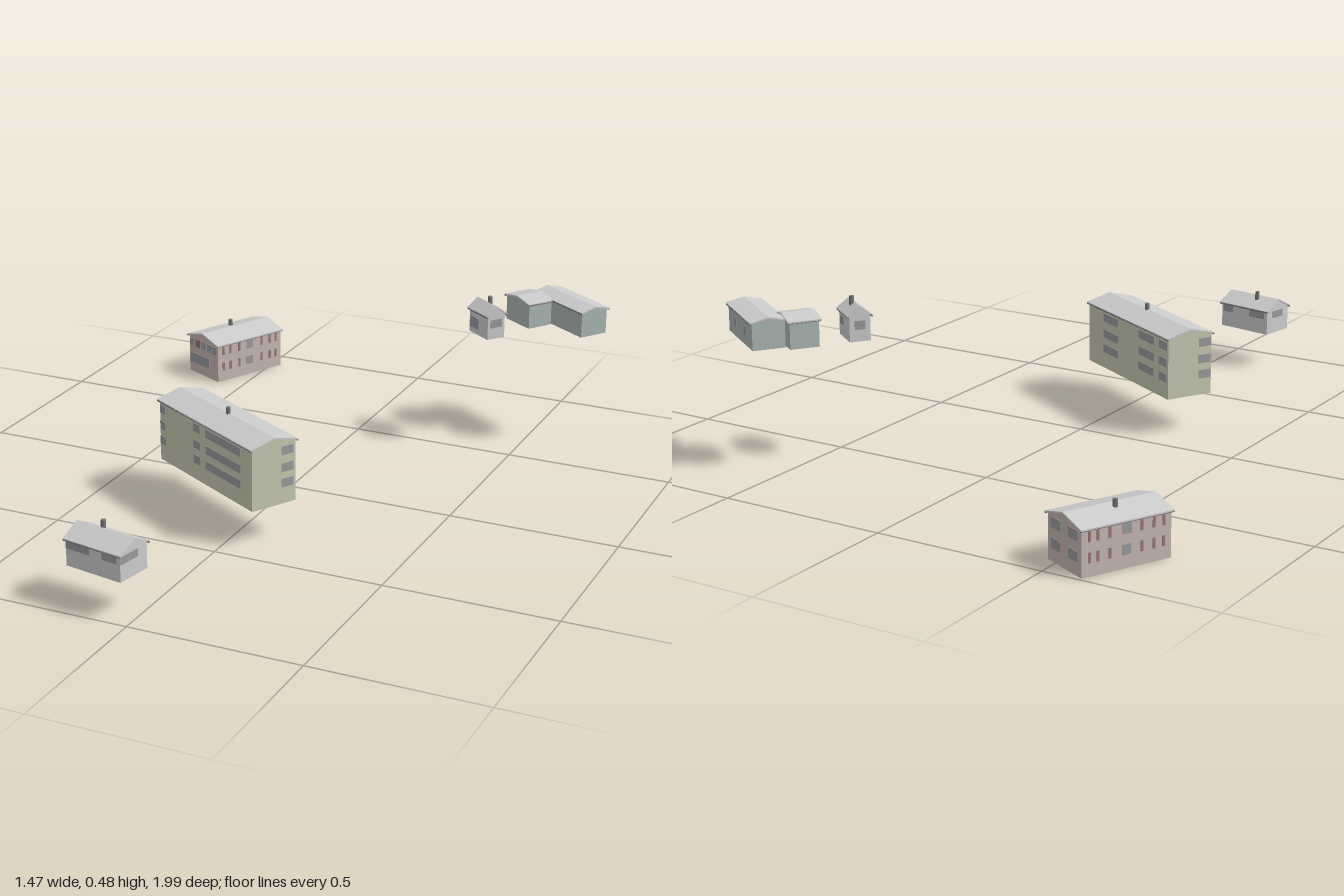
import * as THREE from 'three';

const mat = (color) => new THREE.MeshStandardMaterial({ color, flatShading: true });
const roofMat = mat(0xcccccc);
const glassMat = mat(0x9a9a9e);
const redMat = mat(0x9c7470);
const trimMat = mat(0x777777);

function add(group, name, geometry, material) {
  const mesh = new THREE.Mesh(geometry, material);
  mesh.name = name;
  group.add(mesh);
  return mesh;
}

// Extrudes a cross-section (z, y) along the local x axis, centred.
function prism(points, length) {
  const shape = new THREE.Shape(points.map(([x, y]) => new THREE.Vector2(x, y)));
  const g = new THREE.ExtrudeGeometry(shape, { depth: length, bevelEnabled: false });
  g.translate(0, 0, -length / 2);
  g.rotateY(Math.PI / 2);
  return g;
}

// A gabled house: local x is the ridge, windows are [face, along, y, width, height, red].
function house({ name, x, z, turn, length, width, base, eave, ridge, color, chimney, windows = [] }) {
  const house = new THREE.Group();
  house.name = name;
  house.position.set(x, base, z);
  house.rotation.y = turn;
  const over = 0.006, t = 0.004;
  const L = length - 2 * over, W = width / 2 - over;
  const e = eave - base, r = ridge - base;

  add(house, 'walls', prism([[-W, 0], [W, 0], [W, e], [0, r - t], [-W, e]], L), mat(color));

  // Roof slab folded over the ridge, with a dark fascia along each eave
  const R = width / 2;
  add(house, 'roof', prism([[-R, e - t], [0, r - t], [R, e - t], [R, e], [0, r], [-R, e]], length), roofMat);
  for (const s of [-1, 1]) {
    const gutter = add(house, 'gutter', new THREE.BoxGeometry(length, t, t), trimMat);
    gutter.position.set(0, e - t, s * (R - t / 2));
  }

  // Window panels, one shallow box each
  for (const [face, along, y, w, h, red] of windows) {
    const pane = add(house, 'window', new THREE.BoxGeometry(w, h, 0.003), red ? redMat : glassMat);
    if (face === 'front' || face === 'back') {
      pane.position.set(along, y - base, face === 'front' ? W : -W);
    } else {
      pane.position.set(face === 'right' ? L / 2 : -L / 2, y - base, along);
      pane.rotation.y = Math.PI / 2;
    }
  }

  // Chimney pot, placed in the local frame
  if (chimney) {
    const [cx, cz, top] = chimney;
    const h = top - eave;
    const pot = add(house, 'chimney', new THREE.CylinderGeometry(0.007, 0.007, h, 8), trimMat);
    pot.position.set(cx, e + h / 2, cz);
  }
  return house;
}

// Long three-storey block
function blockWindows() {
  const list = [];
  for (const y of [0.268, 0.218, 0.172]) {
    list.push(['front', -0.219, y, 0.028, 0.025], ['front', -0.04, y, 0.034, 0.025], ['front', 0.092, y, 0.175, 0.025]);
    list.push(['back', -0.11, y, 0.09, 0.025], ['back', -0.205, y, 0.045, 0.025], ['back', 0.1, y, 0.09, 0.025]);
    list.push(['right', -0.045, y, 0.04, 0.025], ['left', 0.05, y, 0.04, 0.025]);
  }
  return list;
}

// Two-storey house with narrow side windows
function narrowWindows() {
  const list = [];
  for (const y of [0.105, 0.05]) {
    for (const face of ['front', 'back']) {
      for (const u of [-0.109, -0.08, -0.044, 0.05, 0.085, 0.11]) list.push([face, u, y, 0.008, 0.028, true]);
      list.push([face, 0, y, 0.026, 0.028]);
    }
    for (const v of [-0.04, 0.04]) list.push(['right', v, y, 0.045, 0.028]);
  }
  [-0.064, -0.032, 0, 0.032, 0.06].forEach((v, i) => list.push(['left', v, 0.104, 0.024, 0.026, i === 1]));
  list.push(['left', -0.02, 0.05, 0.1, 0.034]);
  return list;
}

export function createModel() {
  const model = new THREE.Group();
  model.name = 'village';

  model.add(house({
    name: 'apartmentBlock', x: -0.081, z: 0.258, turn: -0.518, length: 0.48, width: 0.158,
    base: 0.11, eave: 0.295, ridge: 0.315, color: 0xc6c6b0, chimney: [0.012, 0.001, 0.333], windows: blockWindows(),
  }));

  model.add(house({
    name: 'backLeftHouse', x: -0.598, z: -0.839, turn: 1.115, length: 0.276, width: 0.168,
    base: 0, eave: 0.128, ridge: 0.15, color: 0xc4b6b2, chimney: [-0.002, -0.022, 0.165], windows: narrowWindows(),
  }));

  model.add(house({
    name: 'frontHouse', x: -0.102, z: 0.913, turn: -0.179, length: 0.193, width: 0.121,
    base: 0.112, eave: 0.19, ridge: 0.22, color: 0xc2c2be, chimney: [-0.021, -0.016, 0.235],
    windows: [
      ['front', -0.05, 0.172, 0.08, 0.02], ['front', 0.055, 0.172, 0.05, 0.02], ['right', 0.018, 0.172, 0.07, 0.022],
      ['left', 0, 0.172, 0.05, 0.022], ['back', -0.05, 0.172, 0.06, 0.022], ['back', 0.065, 0.172, 0.04, 0.022],
    ],
  }));

  model.add(house({
    name: 'smallShed', x: 0.395, z: -0.5555, turn: -0.634, length: 0.111, width: 0.072,
    base: 0.358, eave: 0.433, ridge: 0.46, color: 0xbcbebe, chimney: [0.002, -0.007, 0.477],
    windows: [
      ['front', -0.022, 0.392, 0.045, 0.034], ['right', 0, 0.406, 0.04, 0.025],
      ['back', 0.02, 0.405, 0.035, 0.025], ['left', 0, 0.405, 0.03, 0.025],
    ],
  }));

  // L-shaped house: main bar plus a wing whose ridge runs across
  const wings = new THREE.Group();
  wings.name = 'angledHouse';
  const shared = { base: 0.364, color: 0xaab6b2 };
  wings.add(house({
    ...shared, name: 'mainWing', x: 0.6015, z: -0.7285, turn: -0.6, length: 0.243, width: 0.105, eave: 0.444, ridge: 0.456,
    windows: [['back', -0.05, 0.405, 0.025, 0.025], ['back', 0.05, 0.405, 0.025, 0.025]],
  }));
  wings.add(house({
    ...shared, name: 'sideWing', x: 0.477, z: -0.702, turn: Math.PI / 2 - 0.6, length: 0.095, width: 0.127, eave: 0.443, ridge: 0.455,
  }));
  model.add(wings);

  return model;
}
